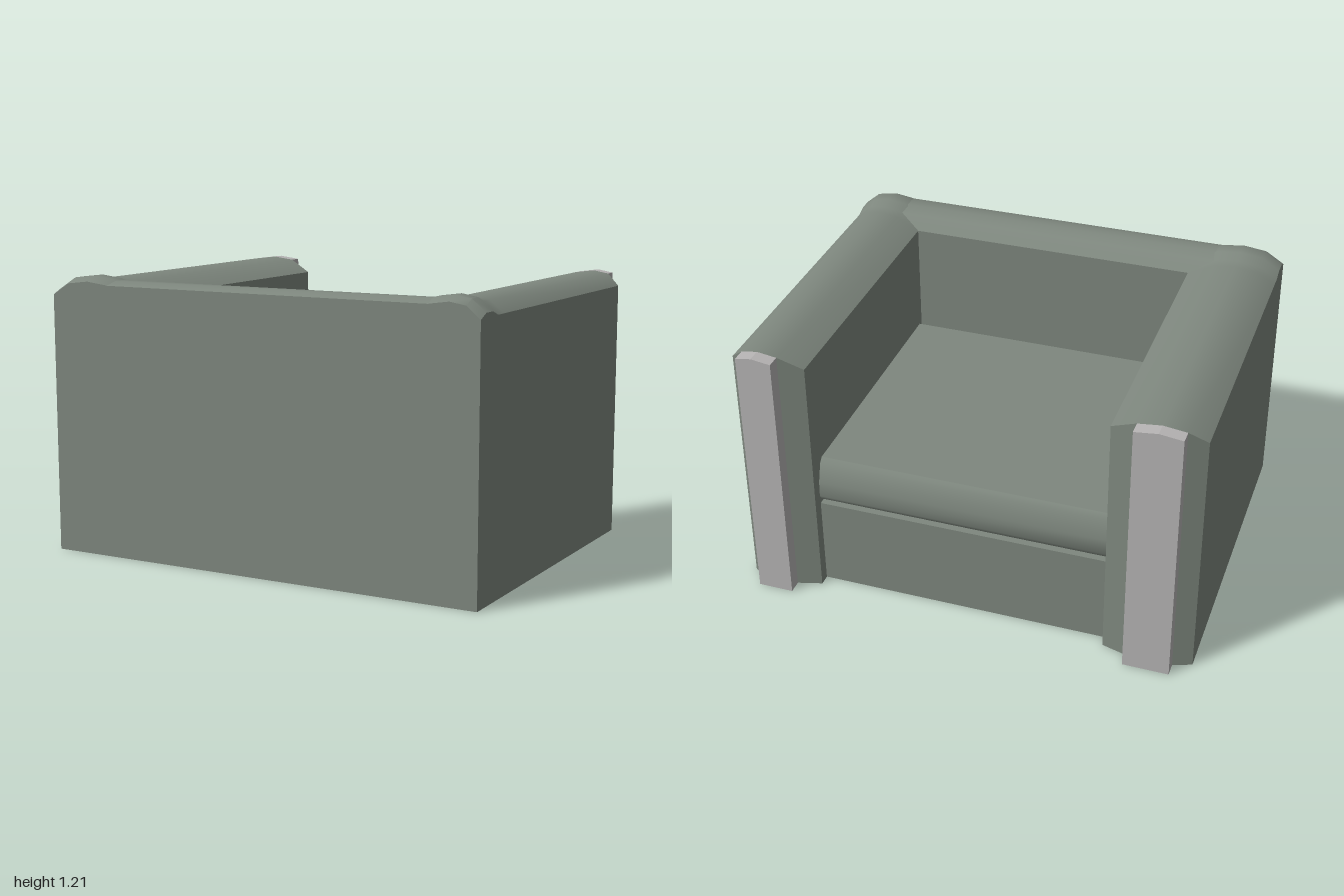
import * as THREE from 'three';
import { toCreasedNormals } from 'three/addons/utils/BufferGeometryUtils.js';

const upholstery = new THREE.MeshStandardMaterial({ color: 0x7e877e });
upholstery.name = 'green grey upholstery';
const trim = new THREE.MeshStandardMaterial({ color: 0xb6b4b4 });
trim.name = 'light grey trim';

function addMesh(group, name, geometry, material) {
  const mesh = new THREE.Mesh(geometry, material);
  mesh.name = name;
  group.add(mesh);
}

function fromTriangles(points) {
  const geometry = new THREE.BufferGeometry();
  geometry.setAttribute('position', new THREE.Float32BufferAttribute(points.flat(), 3));
  geometry.computeVertexNormals();
  return geometry;
}

// Extrudes a [z, y] outline along x
function extrudeAcross(outline, x0, x1) {
  const shape = new THREE.Shape(outline.map(([z, y]) => new THREE.Vector2(-z, y)));
  const geometry = new THREE.ExtrudeGeometry(shape, { depth: x1 - x0, bevelEnabled: false });
  geometry.rotateY(Math.PI / 2).translate(x0, 0, 0);
  return toCreasedNormals(geometry, 0.6);
}

const crown = [1.125, 1.175, 1.187, 1.175, 1.12]; // arm top, outer to inner
const nose = [-0.705, -0.735, -0.735, -0.735, -0.705]; // chamfered arm end

// Arm: rounded section lofted along z, swelling at the rear corner
function makeArm(name, xs, ys) {
  const arm = new THREE.Group();
  arm.name = name;
  const last = xs.length - 1;
  const stations = [[null, 0], [0.575, 0], [0.63, 0], [0.68, 0.018], [0.74, 0.018], [0.79, -0.004]];
  const rings = stations.map(([z, lift]) => {
    const top = xs.map((x, i) => [x, ys[i] + lift, z ?? nose[i]]);
    return [[xs[0], 0, top[0][2]], ...top, [xs[last], 0, top[last][2]]];
  });
  const body = [];
  for (let i = 0; i < rings.length - 1; i++) {
    const lo = rings[i], hi = rings[i + 1];
    for (let j = 0; j < lo.length; j++) {
      const k = (j + 1) % lo.length;
      body.push(lo[j], hi[j], lo[k], lo[k], hi[j], hi[k]);
    }
  }
  // End faces, built as vertical strips
  const cap = (ring, flip) => {
    const out = [];
    for (let j = 1; j <= last; j++) {
      const r = ring[j], s = ring[j + 1];
      const p = [r[0], 0, r[2]], q = [s[0], 0, s[2]];
      out.push(...(flip ? [p, q, r, q, s, r] : [p, r, q, q, r, s]));
    }
    return out;
  };
  // Underside of the chamfered nose
  const under = [];
  for (let j = 1; j < last - 1; j++) {
    const foot = (n) => [xs[n], 0, nose[n]];
    under.push(foot(0), foot(last), foot(j), foot(last), foot(j + 1), foot(j));
  }
  under.push(...[[xs[0], 0, nose[0]], [xs[last], 0, nose[last]], [xs[last - 1], 0, nose[last - 1]]]);
  addMesh(arm, 'armBody', toCreasedNormals(fromTriangles(body), 0.6), upholstery);
  addMesh(arm, 'armEndFaces', fromTriangles([
    ...cap(rings[0], false), ...cap(rings[rings.length - 1], true), ...under]), upholstery);

  // Pale facing board with an arched top
  const board = new THREE.Shape();
  board.moveTo(xs[1], 0);
  board.lineTo(xs[3], 0);
  for (const i of [3, 2, 1]) board.lineTo(xs[i], ys[i]);
  const facing = new THREE.ExtrudeGeometry(board, { depth: 0.06, bevelEnabled: false });
  facing.translate(0, 0, -0.795);
  addMesh(arm, 'armFacing', facing, trim);
  return arm;
}

export function createModel() {
  const chair = new THREE.Group();
  chair.name = 'armchair';

  chair.add(makeArm('wideArm', [-1, -0.92, -0.82, -0.72, -0.61], crown));
  chair.add(makeArm('narrowArm', [0.68, 0.785, 0.87, 0.94, 1], [...crown].reverse()));

  // Backrest with a rounded top roll
  addMesh(chair, 'backrest', extrudeAcross([
    [0.79, 0], [0.79, 1.17], [0.74, 1.187], [0.69, 1.187], [0.63, 1.172], [0.575, 1.12], [0.575, 0],
  ], -0.8, 0.86), upholstery);

  // Seat base and cushion, separated by a thin seam
  addMesh(chair, 'seatBase', new THREE.BoxGeometry(1.35, 0.41, 1.255)
    .translate(0.035, 0.205, -0.0275), upholstery);
  addMesh(chair, 'seamFiller', new THREE.BoxGeometry(1.35, 0.04, 1.2)
    .translate(0.035, 0.42, -0.02), upholstery);
  addMesh(chair, 'seatCushion', extrudeAcross([
    [-0.645, 0.428], [-0.658, 0.45], [-0.655, 0.52], [-0.63, 0.605], [-0.61, 0.625],
    [0.55, 0.63], [0.575, 0.61], [0.575, 0.428],
  ], -0.63, 0.7), upholstery);

  return chair;
}
